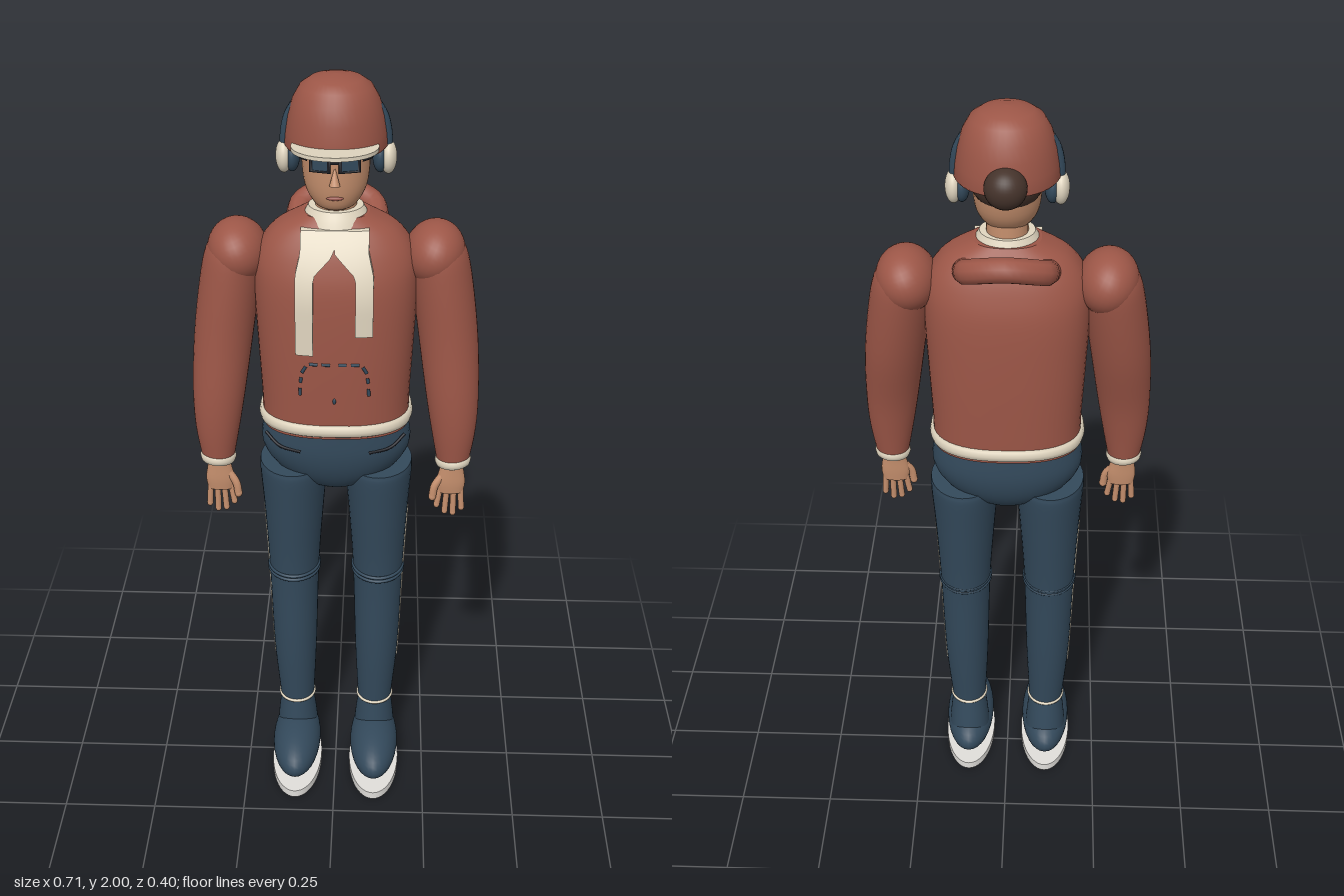
import * as THREE from 'three';

const paint = (name, color) => {
  const m = new THREE.MeshStandardMaterial({ color });
  m.name = name;
  return m;
};
const rust = paint('rust', 0x9c5647), navy = paint('navy', 0x33495b), cream = paint('cream', 0xe0d5bf);
const skin = paint('skin', 0xc58f6d), hair = paint('dark hair', 0x45332b), sole = paint('sole white', 0xe0deda);
const black = paint('black', 0x1b1c22), lips = paint('lips', 0x9c5a50);

const V = (x, y, z) => new THREE.Vector3(x, y, z);

// Smooth upright body through sections [y, centre x, centre z, radius x, radius z], listed upwards
function loft(sections, rows = 24, power = 2, n = 36) {
  const mid = new THREE.CatmullRomCurve3(sections.map(s => V(s[1], s[0], s[2])), false, 'catmullrom', 0.5);
  const rad = new THREE.CatmullRomCurve3(sections.map(s => V(s[3], 0, s[4])), false, 'catmullrom', 0.5);
  const pos = [], idx = [];
  const ring = t => {
    const c = mid.getPoint(t), r = rad.getPoint(t);
    for (let j = 0; j < n; j++) {
      const a = j / n * Math.PI * 2, e = 2 / power;
      const cx = Math.cos(a), sz = Math.sin(a);
      pos.push(c.x + r.x * Math.sign(cx) * Math.abs(cx) ** e, c.y, c.z + r.z * Math.sign(sz) * Math.abs(sz) ** e);
    }
  };
  for (let i = 0; i <= rows; i++) ring(i / rows);
  for (let i = 0; i < rows; i++) for (let j = 0; j < n; j++) {
    const a = i * n + j, c = i * n + (j + 1) % n;
    idx.push(a, a + n, c, c, a + n, c + n);
  }
  for (const t of [0, 1]) {
    const start = pos.length / 3;
    ring(t);
    const p = mid.getPoint(t), k = pos.length / 3;
    pos.push(p.x, p.y, p.z);
    for (let j = 0; j < n; j++) {
      const a = start + j, b = start + (j + 1) % n;
      t ? idx.push(k, b, a) : idx.push(k, a, b);
    }
  }
  const g = new THREE.BufferGeometry();
  g.setAttribute('position', new THREE.Float32BufferAttribute(pos, 3));
  g.setIndex(idx);
  g.computeVertexNormals();
  return g;
}

const tube = (points, r, segs = 16) =>
  new THREE.TubeGeometry(new THREE.CatmullRomCurve3(points.map(p => V(...p))), segs, r, 10);
const ball = (rx, ry, rz) => new THREE.SphereGeometry(1, 32, 20).scale(rx, ry, rz);

// Horizontal elliptical trim ring
function trim(rx, rz, r, height = 1, power = 2) {
  const pts = [];
  for (let i = 0; i < 32; i++) {
    const a = -i / 32 * Math.PI * 2, c = Math.cos(a), s = Math.sin(a), e = 2 / power;
    pts.push(V(rx * Math.sign(c) * Math.abs(c) ** e, 0, rz * Math.sign(s) * Math.abs(s) ** e));
  }
  return new THREE.TubeGeometry(new THREE.CatmullRomCurve3(pts, true), 64, r, 8, true).scale(1, height, 1);
}

// Front of the jacket
const chest = (x, y) => {
  const up = Math.max(0, y - 1.48);
  return -0.015 + (0.135 - up * up * 2.2) * (1 - (Math.abs(x) / 0.195) ** 2.6) ** (1 / 2.6);
};

export function createModel() {
  const model = new THREE.Group();
  model.name = 'standingFigure';
  const add = (name, geo, mat, x = 0, y = 0, z = 0, parent = model) => {
    const m = new THREE.Mesh(geo, mat);
    m.name = name;
    m.position.set(x, y, z);
    parent.add(m);
    return m;
  };

  // Jacket body, hem and hood
  add('jacket', loft([[1.125, 0, -0.015, 0.185, 0.13], [1.2, 0, -0.015, 0.185, 0.133], [1.35, 0, -0.015, 0.192, 0.136],
    [1.5, 0, -0.015, 0.198, 0.132], [1.58, 0, -0.015, 0.19, 0.115], [1.64, 0, -0.015, 0.15, 0.09],
    [1.68, 0, -0.015, 0.08, 0.065]], 30, 2.5, 48), rust);
  add('hem', trim(0.183, 0.13, 0.011, 1.6, 2.5), cream, 0, 1.148, -0.015);
  const hood = [[-0.095, 1.625, -0.085], [-0.085, 1.65, -0.135], [0, 1.673, -0.168], [0.085, 1.65, -0.135], [0.095, 1.625, -0.085]];
  add('hood', tube(hood, 0.03, 20), rust);
  for (const s of [0, 4]) add('hoodEnd', ball(0.03, 0.03, 0.03), rust, ...hood[s]);

  // Pouch pocket stitching
  for (const s of [-1, 1]) {
    for (const [x1, y1, x2, y2] of [[0.01, 1.335, 0.03, 1.335], [0.04, 1.335, 0.06, 1.335], [0.068, 1.33, 0.078, 1.312],
      [0.08, 1.3, 0.082, 1.285], [0.083, 1.27, 0.084, 1.25]])
      add('pocketStitch', tube([[s * x1, y1, chest(x1, y1)], [s * x2, y2, chest(x2, y2)]], 0.004, 2), navy);
  }
  add('zipPull', ball(0.004, 0.008, 0.004), navy, 0, 1.235, 0.119);

  // Scarf: collar and two hanging tails that meet in a V
  add('scarfCollar', loft([[1.6, 0, 0.0, 0.09, 0.085], [1.635, 0, -0.005, 0.09, 0.085], [1.67, 0, -0.008, 0.078, 0.073],
    [1.695, 0, -0.01, 0.065, 0.06]], 14), cream);
  for (const [s, low] of [[-1, 1.37], [1, 1.42]]) {
    const g = new THREE.BoxGeometry(0.045, 1.66 - low, 0.022, 4, 16, 1), p = g.attributes.position;
    for (let i = 0; i < p.count; i++) {
      const y = p.getY(i) + (1.66 + low) / 2, u = p.getX(i) * s / 0.045 + 0.5;
      const rise = THREE.MathUtils.clamp((y - 1.565) / 0.05, 0, 1);
      const inner = 0.05 * (1 - rise), outer = 0.092 - 0.012 * rise;
      const x = s * (inner + (outer - inner) * u);
      p.setXYZ(i, x, y, chest(x, y) + 0.014 + p.getZ(i));
    }
    g.computeVertexNormals();
    add('scarfTail', g, cream);
  }

  // Neck, head and face
  add('neck', new THREE.CylinderGeometry(0.048, 0.05, 0.12, 24), skin, 0, 1.7, -0.012);
  add('head', loft([[1.698, 0, 0.012, 0.03, 0.032], [1.712, 0, 0.006, 0.052, 0.056], [1.75, 0, -0.004, 0.073, 0.076],
    [1.81, 0, -0.01, 0.08, 0.085], [1.87, 0, -0.01, 0.078, 0.085], [1.91, 0, -0.01, 0.05, 0.06]], 20), skin);
  const nose = add('nose', new THREE.ConeGeometry(0.013, 0.045, 12), skin, 0, 1.793, 0.078);
  nose.rotation.x = -0.25;
  add('mouth', ball(0.02, 0.005, 0.006), lips, 0, 1.737, 0.068);
  add('hair', ball(0.086, 0.075, 0.078), hair, 0, 1.835, -0.032);
  add('hairBun', ball(0.048, 0.047, 0.045), hair, 0, 1.856, -0.137);

  // Glasses
  for (const s of [-1, 1]) {
    const lens = add('lens', new THREE.BoxGeometry(0.044, 0.032, 0.007), navy, s * 0.034, 1.82, 0.075);
    lens.rotation.y = s * 0.25;
    const frame = add('lensFrame', new THREE.TorusGeometry(0.021, 0.004, 8, 4, Math.PI * 2).rotateZ(Math.PI / 4)
      .scale(1.45, 1.05, 1), black, s * 0.034, 1.82, 0.077);
    frame.rotation.y = s * 0.25;
    add('glassesArm', tube([[s * 0.06, 1.829, 0.068], [s * 0.082, 1.828, 0.04], [s * 0.088, 1.825, -0.02]], 0.004, 10), black);
  }
  add('glassesBridge', new THREE.BoxGeometry(0.024, 0.007, 0.007), black, 0, 1.827, 0.081);

  // Cap
  const dome = [[0.116, -0.165], [0.12, -0.16], [0.117, -0.13], [0.111, -0.092], [0.1, -0.056], [0.083, -0.026],
    [0.06, -0.01], [0.03, -0.002], [0, 0]].map(p => new THREE.Vector2(...p));
  const cap = add('cap', new THREE.LatheGeometry(dome, 40), rust, 0, 2, -0.023);
  cap.material = rust;
  add('capUnderside', new THREE.CircleGeometry(0.117, 36).rotateX(Math.PI / 2), rust, 0, 1.837, -0.023);
  const brim = add('brim', new THREE.CylinderGeometry(0.1, 0.1, 0.009, 40), cream, 0, 1.856, 0.062);
  brim.rotation.x = -0.06;

  // Headphones
  for (const s of [-1, 1]) {
    add('earCup', ball(0.02, 0.04, 0.033), cream, s * 0.121, 1.807, -0.022);
    add('earCushion', ball(0.018, 0.037, 0.032), navy, s * 0.102, 1.807, -0.022);
    add('headband', tube([[s * 0.12, 1.82, -0.022], [s * 0.119, 1.86, -0.022], [s * 0.111, 1.9, -0.022],
      [s * 0.095, 1.93, -0.022]], 0.011, 14).translate(0, 0, 0.022).scale(1, 1, 1.5), navy, 0, 0, -0.022);
  }

  // Arms
  for (const s of [-1, 1]) {
    const arm = new THREE.Group();
    arm.name = s > 0 ? 'leftArm' : 'rightArm';
    model.add(arm);
    add('sleeve', loft([[1.025, s * 0.299, 0.04, 0.04, 0.04], [1.12, s * 0.297, 0.036, 0.056, 0.052],
      [1.22, s * 0.29, 0.026, 0.066, 0.062], [1.36, s * 0.276, 0.002, 0.073, 0.077], [1.5, s * 0.257, -0.014, 0.074, 0.087],
      [1.58, s * 0.245, -0.021, 0.068, 0.086], [1.62, s * 0.235, -0.022, 0.05, 0.065]]), rust, 0, 0, 0, arm);
    const cap = add('shoulder', ball(0.073, 0.078, 0.094), rust, s * 0.236, 1.572, -0.022, arm);
    cap.rotation.z = s * -0.35;
    const cuff = add('cuff', trim(0.037, 0.036, 0.009, 1.6), cream, s * 0.299, 1.032, 0.04, arm);
    cuff.rotation.z = s * 0.08;

    // Hand with spread fingers
    add('palm', loft([[0.935, s * 0.296, 0.044, 0.033, 0.014], [0.965, s * 0.296, 0.044, 0.037, 0.017],
      [1.0, s * 0.297, 0.043, 0.031, 0.018], [1.03, s * 0.298, 0.041, 0.025, 0.02]], 10, 2, 20), skin, 0, 0, 0, arm);
    [0.897, 0.878, 0.874, 0.89].forEach((tip, i) => {
      const o = (i - 1.5) * 0.017, x0 = s * (0.296 + o), x1 = s * (0.294 + o * 1.25);
      add('finger', tube([[x0, 0.95, 0.044], [x1, tip, 0.047]], 0.008, 3), skin, 0, 0, 0, arm);
      add('fingertip', ball(0.008, 0.01, 0.008), skin, x1, tip, 0.047, arm);
    });
    add('thumb', tube([[s * 0.275, 0.985, 0.045], [s * 0.255, 0.955, 0.052], [s * 0.25, 0.925, 0.054]], 0.01, 8), skin, 0, 0, 0, arm);
    add('thumbTip', ball(0.01, 0.012, 0.01), skin, s * 0.25, 0.925, 0.054, arm);
  }

  // Trouser top
  add('hips', loft([[0.93, 0, -0.015, 0.045, 0.04], [0.955, 0, -0.016, 0.095, 0.078], [1.0, 0, -0.018, 0.158, 0.108],
    [1.06, 0, -0.018, 0.19, 0.123], [1.14, 0, -0.016, 0.18, 0.122]], 20, 2.1), navy);

  // Legs and shoes
  for (const s of [-1, 1]) {
    const leg = new THREE.Group();
    leg.name = s > 0 ? 'leftLeg' : 'rightLeg';
    model.add(leg);
    add('trouserLeg', loft([[0.21, s * 0.11, -0.012, 0.047, 0.051], [0.4, s * 0.113, -0.014, 0.059, 0.066],
      [0.66, s * 0.113, -0.018, 0.067, 0.077], [0.85, s * 0.111, -0.018, 0.078, 0.097],
      [0.97, s * 0.11, -0.018, 0.087, 0.111], [1.0, s * 0.11, -0.018, 0.086, 0.11]]), navy, 0, 0, 0, leg);
    for (const y of [0.655, 0.666])
      add('kneeSeam', trim(0.067, 0.077, 0.0045), navy, s * 0.113, y, -0.015, leg);
    add('sideStripe', tube([[s * 0.169, 0.35, -0.016], [s * 0.1715, 0.4, -0.016], [s * 0.18, 0.66, -0.016],
      [s * 0.1885, 0.855, -0.016]], 0.003, 24), cream, 0, 0, 0, leg);
    add('hipPocketSeam', tube([[s * 0.175, 1.105, 0.046], [s * 0.14, 1.08, 0.072], [s * 0.085, 1.075, 0.094]], 0.004, 10), black, 0, 0, 0, leg);
    add('ankleTrim', trim(0.047, 0.051, 0.005), cream, s * 0.11, 0.216, -0.012, leg);
    add('ankle', loft([[0.09, s * 0.11, -0.018, 0.058, 0.07], [0.15, s * 0.11, -0.016, 0.053, 0.06],
      [0.21, s * 0.11, -0.013, 0.046, 0.05]], 10), navy, 0, 0, 0, leg);
    add('shoe', ball(0.067, 0.065, 0.157), navy, s * 0.11, 0.086, 0.04, leg);
    add('sole', new THREE.CylinderGeometry(1, 1, 0.022, 48).scale(0.07, 1, 0.16), sole, s * 0.11, 0.011, 0.04, leg);
  }
  return model;
}
